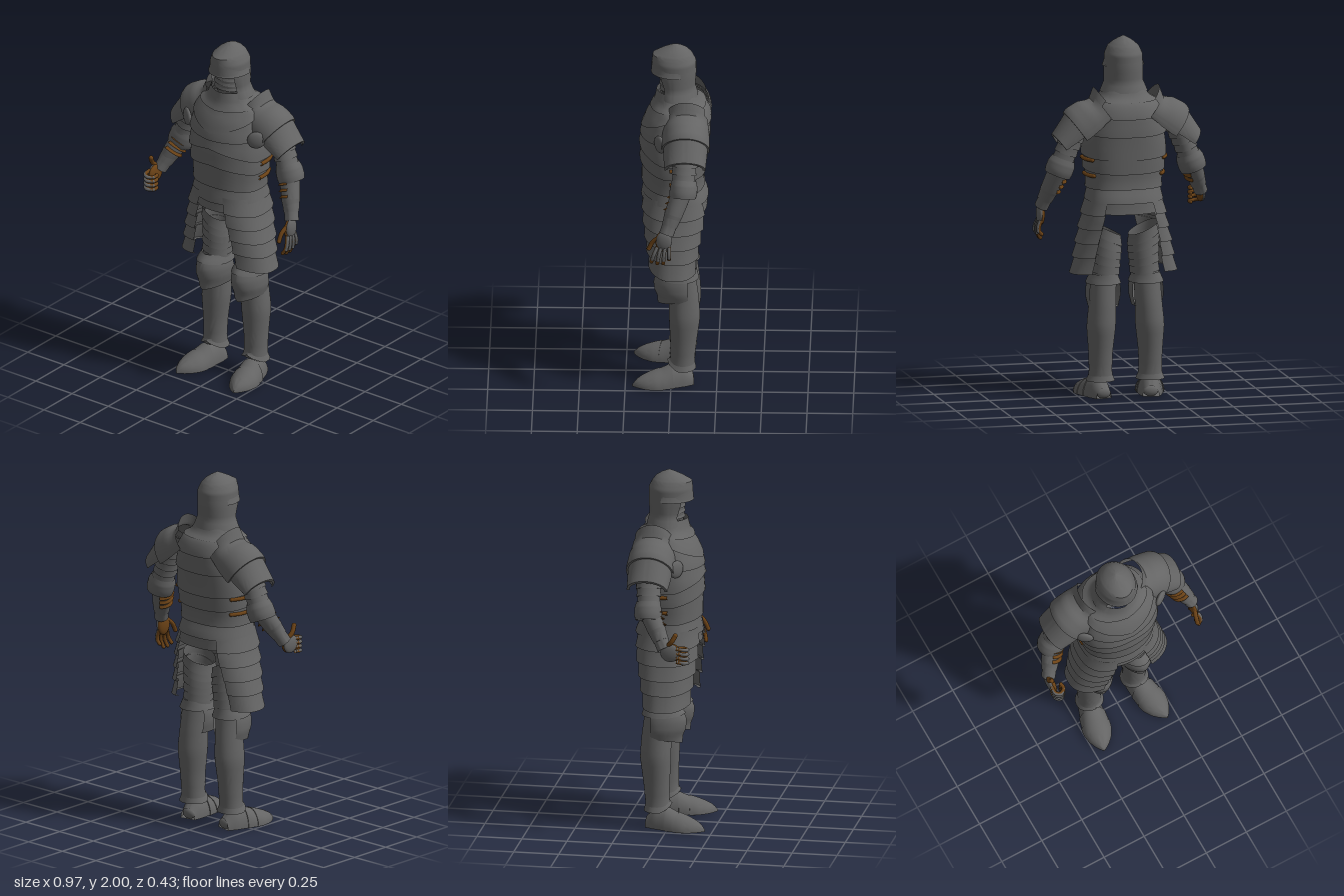
import * as THREE from 'three';
import { toCreasedNormals } from 'three/addons/utils/BufferGeometryUtils.js';

const steel = new THREE.MeshStandardMaterial({ color: 0x646464, side: THREE.DoubleSide });
steel.name = 'steel';
const leather = new THREE.MeshStandardMaterial({ color: 0x6b4216, side: THREE.DoubleSide });
leather.name = 'leather';

const V = (a) => new THREE.Vector3(...a);
const rad = THREE.MathUtils.degToRad;

// Profile rows: [y, radius x, front radius z, back radius z, centre x, centre z]
function sample(prof, y) {
  let i = 0;
  while (i < prof.length - 2 && y > prof[i + 1][0]) i++;
  const A = prof[i], B = prof[i + 1];
  const t = THREE.MathUtils.clamp((y - A[0]) / (B[0] - A[0]), 0, 1);
  return [1, 2, 3, 4, 5].map((k) => THREE.MathUtils.lerp(A[k] ?? 0, B[k] ?? 0, t));
}

// One armour plate wrapped round a profile, with a raised lip on its lower edge
function lame(name, prof, y0, y1, o = {}) {
  const { out = 0.008, rise = 0, back = 0, peak = 0, tilt = 0, keel = 0, a0 = -180, a1 = 180, p = 1, n = 6, seg = 40, mat = steel } = o;
  const rows = [[0, -0.3]];
  for (let j = 0; j <= n; j++) rows.push([j / n, (1 - j / n) ** 1.4]);
  const pos = [], idx = [];
  rows.forEach(([t, lift], j) => {
    for (let i = 0; i <= seg; i++) {
      const a = rad(a0 + (a1 - a0) * i / seg), s = Math.sin(a), c = Math.cos(a);
      const turn = Math.abs(Math.atan2(s, c));
      const point = Math.max(0, 1 - turn / 1.3);
      const y = y0 + (y1 - y0) * t + (1 - t) * (rise * point + back * Math.max(0, -c)) + t * peak * point + tilt * s;
      const [rx, zf, zb, cx, cz] = sample(prof, y);
      const e = out * lift, curve = (v) => Math.sign(v) * Math.abs(v) ** p;
      pos.push(cx + (rx + e) * curve(s), y, cz + ((c > 0 ? zf : zb) + e) * curve(c) + keel * Math.max(0, 1 - turn / 0.8));
      if (i < seg && j < rows.length - 1) {
        const q = j * (seg + 1) + i, r = q + seg + 1;
        idx.push(q, q + 1, r, q + 1, r + 1, r);
      }
    }
  });
  const g = new THREE.BufferGeometry();
  g.setAttribute('position', new THREE.Float32BufferAttribute(pos, 3));
  g.setIndex(idx);
  const m = new THREE.Mesh(toCreasedNormals(g, rad(38)), mat);
  m.name = name;
  return m;
}

// Aim a part's local y axis from one point to another
function along(obj, from, to) {
  obj.position.copy(V(from));
  obj.quaternion.setFromUnitVectors(new THREE.Vector3(0, 1, 0), V(to).sub(V(from)).normalize());
  return obj;
}

function group(name, ...parts) {
  const g = new THREE.Group();
  g.name = name;
  if (parts.length) g.add(...parts);
  return g;
}

function ball(name, at, scale, mat = steel) {
  const m = new THREE.Mesh(new THREE.SphereGeometry(1, 20, 12), mat);
  m.name = name;
  m.position.set(...at);
  m.scale.set(...scale);
  return m;
}

function pipe(name, pts, r, mat = leather) {
  const tube = new THREE.Mesh(new THREE.TubeGeometry(new THREE.CatmullRomCurve3(pts.map(V)), 14, r, 8), mat);
  return group(name, tube, ball(name + 'Tip', pts[pts.length - 1], [r, r, r], mat));
}

const torsoProfile = [
  [1.03, 0.2, 0.148, 0.16, 0, -0.02], [1.1, 0.2, 0.155, 0.167, 0, -0.02], [1.18, 0.194, 0.152, 0.142, 0, -0.02],
  [1.3, 0.214, 0.162, 0.158, 0, -0.02], [1.4, 0.222, 0.168, 0.17, 0, -0.02], [1.5, 0.216, 0.158, 0.182, 0, -0.02],
  [1.58, 0.2, 0.135, 0.184, 0, -0.02], [1.64, 0.176, 0.1, 0.168, 0, -0.02], [1.67, 0.13, 0.09, 0.125, 0, -0.02],
  [1.73, 0.105, 0.085, 0.105, 0, -0.02]];

function torso() {
  const g = group('torso');
  // name, bottom, top, front rise, back rise
  for (const [name, y0, y1, rise, back] of [
    ['fauldLower', 1.04, 1.12, 0, -0.01], ['fauldUpper', 1.1, 1.22, -0.01, -0.01], ['plackart', 1.165, 1.36, 0.02, 0],
    ['midPlate', 1.27, 1.45, 0.05, -0.02], ['breastplate', 1.35, 1.54, 0.07, -0.02], ['upperBreast', 1.48, 1.63, -0.01, -0.02],
    ['gorgetBib', 1.6, 1.69, -0.09, -0.04], ['collar', 1.65, 1.73, -0.02, 0]])
    g.add(lame(name, torsoProfile, y0, y1, { rise, back, out: 0.015, p: 0.82, keel: 0.018, seg: 64 }));
  return g;
}

// The skull swells forward at the brow to carry the raised visor
const helmetProfile = [
  [1.69, 0.128, 0.09, 0.12, 0, -0.02], [1.75, 0.105, 0.085, 0.106, 0, -0.02], [1.83, 0.107, 0.124, 0.114, 0, -0.02],
  [1.9, 0.104, 0.128, 0.114, 0, -0.02], [1.94, 0.085, 0.124, 0.094, 0, -0.02], [1.965, 0.06, 0.078, 0.072, 0, -0.02],
  [1.985, 0.03, 0.035, 0.04, 0, -0.02], [2, 0, 0, 0, 0, -0.02]];
const faceProfile = [[1.68, 0.06, 0.06, 0.07, 0, -0.02], [1.73, 0.088, 0.08, 0.07, 0, -0.02], [1.86, 0.092, 0.085, 0.07, 0, -0.02]];

function helmet() {
  const g = group('helmet',
    lame('skull', helmetProfile, 1.845, 2, { out: 0, n: 18 }),
    lame('napeAndCheeks', helmetProfile, 1.695, 1.86, { out: 0.006, a0: 50, a1: 310, n: 9 }),
    lame('visor', helmetProfile, 1.835, 1.86, { out: 0.007, peak: 0.065, a0: -105, a1: 105, n: 8 }),
    lame('browBand', helmetProfile, 1.835, 1.865, { out: 0.009, a0: -100, a1: 100, n: 2 }),
    lame('facePlate', faceProfile, 1.68, 1.85, { out: 0, a0: -85, a1: 85, n: 8 }));
  for (const y of [1.735, 1.765, 1.795])
    g.add(lame('breathRidge', faceProfile, y, y + 0.014, { out: 0.005, a0: -60, a1: 60, n: 2 }));
  return g;
}

const tassetProfile = [
  [0.69, 0.186, 0.13, 0.112, 0.1, -0.02], [0.85, 0.18, 0.153, 0.142, 0.078, -0.02],
  [1.0, 0.175, 0.172, 0.17, 0.05, -0.02], [1.13, 0.175, 0.175, 0.163, 0.028, -0.02]];
const thighProfile = [[0.64, 0.073, 0.075, 0.085, 0.115, -0.045], [0.8, 0.08, 0.085, 0.095, 0.105, -0.045], [1, 0.085, 0.09, 0.1, 0.105, -0.045]];
const shinProfile = [
  [0.09, 0.07, 0.085, 0.062, 0.14, -0.065], [0.14, 0.06, 0.066, 0.06, 0.14, -0.065], [0.25, 0.064, 0.068, 0.072, 0.14, -0.065],
  [0.4, 0.079, 0.076, 0.093, 0.137, -0.065], [0.52, 0.074, 0.076, 0.085, 0.13, -0.065], [0.68, 0.072, 0.08, 0.075, 0.122, -0.055]];
const kneeProfile = [
  [0.46, 0.058, 0.105, 0.09, 0.122, -0.05], [0.52, 0.078, 0.112, 0.092, 0.122, -0.05], [0.56, 0.09, 0.13, 0.095, 0.122, -0.05],
  [0.61, 0.092, 0.138, 0.097, 0.12, -0.05], [0.655, 0.084, 0.122, 0.092, 0.12, -0.05], [0.69, 0.074, 0.095, 0.09, 0.118, -0.05]];
// Foot rows run from heel to toe; the back radius is the height
const footProfile = [
  [0, 0.045, 0, 0.06], [0.05, 0.06, 0, 0.11], [0.12, 0.07, 0, 0.11], [0.17, 0.077, 0, 0.09], [0.22, 0.077, 0, 0.076],
  [0.27, 0.06, 0, 0.058], [0.31, 0.032, 0, 0.038], [0.335, 0.002, 0, 0.01]];

function leg() {
  const g = group('leg');
  // Hanging hip plates
  [0.7, 0.79, 0.87, 0.95, 1.03].forEach((y) =>
    g.add(lame('tasset', tassetProfile, y, y + 0.105, { a0: 12, a1: 152, p: 0.85, tilt: -0.01, rise: 0.02, out: 0.014 })));
  // Laminated thigh
  for (let i = 0; i < 6; i++)
    g.add(lame('thighLame', thighProfile, 0.645 + i * 0.046, 0.705 + i * 0.046, { tilt: 0.008 * i, out: 0.007 }));
  // Knee and shin
  g.add(
    lame('kneeCop', kneeProfile, 0.505, 0.675, { a0: -115, a1: 115, keel: 0.008, rise: -0.025, n: 10 }),
    lame('kneeBand', kneeProfile, 0.635, 0.69, { out: 0.008, rise: 0.015, keel: 0.008 }),
    lame('greave', shinProfile, 0.12, 0.66, { out: 0.003, n: 16 }),
    lame('ankleFlare', shinProfile, 0.095, 0.15, { out: 0.01, rise: 0.045, keel: 0.008 }));
  // Pointed shoe
  [['shoeHeel', 0, 0.14], ['shoeInstep', 0.12, 0.2], ['shoeToe', 0.18, 0.335]].forEach(([name, y0, y1], i) => {
    const m = lame(name, footProfile, y0, y1, { out: i ? 0.004 : 0, n: 10 });
    m.rotation.set(Math.PI / 2, 0.2, 0, 'YXZ');
    m.position.set(0.132, 0.001, -0.117);
    g.add(m);
  });
  g.add(ball('heelCap', [0.134, 0.03, -0.104], [0.042, 0.029, 0.02]));
  return g;
}

const pauldronProfile = [
  [0, 0.07, 0.1, 0.1], [0.065, 0.1, 0.112, 0.112], [0.145, 0.138, 0.122, 0.124],
  [0.217, 0.136, 0.124, 0.126], [0.275, 0.108, 0.115, 0.122], [0.335, 0.15, 0.108, 0.118]];

function shoulder() {
  const outer = [0.365, 1.41, -0.08], inner = [0.16, 1.56, -0.08];
  const g = group('shoulder');
  for (const [name, y0, y1, a0, a1] of [['pauldronLower', 0, 0.16, -4, 184], ['pauldronUpper', 0.12, 0.3, -12, 192], ['neckGuard', 0.255, 0.335, 30, 150]])
    g.add(along(lame(name, pauldronProfile, y0, y1, { a0, a1, n: 9, out: name === 'neckGuard' ? 0 : 0.012 }), outer, inner));
  // Round armpit disc
  const disc = ball('armpitDisc', [0.238, 1.5, 0.06], [0.05, 0.05, 0.018]);
  disc.rotation.y = 0.6;
  g.add(disc);
  // Side straps of the cuirass
  for (const y of [1.24, 1.33]) {
    const pts = [84, 90, 100, 110, 122].map((d) => {
      const [rx, zf, zb, , cz] = sample(torsoProfile, y), s = Math.sin(rad(d)) ** 0.82, c = Math.cos(rad(d));
      return [(rx + 0.013) * s, y, cz + ((c > 0 ? zf : zb) + 0.013) * Math.sign(c) * Math.abs(c) ** 0.82];
    });
    g.add(pipe('sideStrap', pts, 0.011));
  }
  return g;
}

const upperArmProfile = [[0, 0.052, 0.055, 0.055], [0.25, 0.066, 0.072, 0.072]];
const elbowProfile = [[-0.07, 0.06, 0.06, 0.06], [-0.03, 0.072, 0.068, 0.074], [0.01, 0.075, 0.068, 0.077], [0.06, 0.06, 0.058, 0.064]];
const forearmProfile = [[0, 0.037, 0.037, 0.037], [0.1, 0.05, 0.048, 0.05], [0.24, 0.06, 0.056, 0.058]];
const cuffProfile = [[-0.03, 0.034, 0.036, 0.036], [0.02, 0.037, 0.038, 0.038], [0.09, 0.053, 0.052, 0.052]];

function arm(wrist) {
  const top = [0.275, 1.54, -0.085], elbow = [0.365, 1.3, -0.07];
  const g = group('arm');
  for (let i = 0; i < 5; i++)
    g.add(along(lame('upperArmLame', upperArmProfile, 0.03 + i * 0.043, 0.085 + i * 0.043, { out: 0.008, seg: 28 }), elbow, top));
  g.add(
    along(lame('elbowCop', elbowProfile, -0.055, 0.045, { n: 8, seg: 28 }), elbow, top),
    along(lame('vambrace', forearmProfile, 0.02, 0.24, { out: 0.003, seg: 28 }), wrist, elbow),
    along(lame('gauntletCuff', cuffProfile, -0.03, 0.085, { out: 0.004, seg: 28 }), wrist, elbow));
  // Buckled straps on the inner forearm
  for (const y of [0.095, 0.13, 0.165])
    g.add(along(lame('forearmStrap', forearmProfile, y, y + 0.016, { out: 0.014, a0: -150, a1: 20, n: 2, seg: 20, mat: leather }), wrist, elbow));
  return g;
}

// A leather finger with an armoured outer side
function finger(pts, shift) {
  const plated = pts.slice(0, -1).map((q) => q.map((v, k) => v + shift[k]));
  return group('finger', pipe('gloveFinger', pts, 0.0105), pipe('fingerPlates', plated, 0.0095, steel));
}

function openHand() {
  const g = group('openHand',
    ball('palm', [0.45, 1.015, 0.035], [0.019, 0.062, 0.045], leather),
    ball('handPlate', [0.458, 1.02, 0.032], [0.019, 0.058, 0.043]));
  for (let i = 0; i < 4; i++) {
    const z = 0.005 + i * 0.021, drop = i === 0 ? 0.025 : i === 3 ? 0.01 : 0;
    g.add(finger([[0.456, 0.985, z], [0.468, 0.945, z + 0.006 * i], [0.466, 0.91 + drop * 0.5, z + 0.009 * i], [0.453, 0.882 + drop, z + 0.011 * i]], [0.006, 0, 0]));
  }
  g.add(pipe('thumb', [[0.45, 1.04, 0.06], [0.44, 1.005, 0.095], [0.438, 0.965, 0.115]], 0.0125));
  return g;
}

function grippingHand() {
  const g = group('grippingHand',
    ball('palm', [0.452, 1.09, 0.068], [0.018, 0.052, 0.058], leather),
    ball('handPlate', [0.464, 1.09, 0.066], [0.016, 0.05, 0.054]));
  for (let i = 0; i < 4; i++) {
    const y = 1.035 + i * 0.025;
    g.add(finger([[0.466, y + 0.006, 0.1], [0.464, y, 0.14], [0.438, y - 0.004, 0.155], [0.41, y - 0.006, 0.135], [0.412, y - 0.006, 0.108]], [0.001, 0, 0.005]));
  }
  g.add(pipe('thumb', [[0.455, 1.12, 0.045], [0.468, 1.155, 0.075], [0.462, 1.19, 0.095]], 0.013));
  return g;
}

export function createModel() {
  const model = group('suitOfArmour', torso(), helmet());
  const left = group('leftSide', shoulder(), leg(), arm([0.443, 1.085, 0.01]), openHand());
  const right = group('rightSide', shoulder(), leg(), arm([0.438, 1.13, 0.02]), grippingHand());
  right.scale.x = -1;
  model.add(left, right);
  return model;
}
